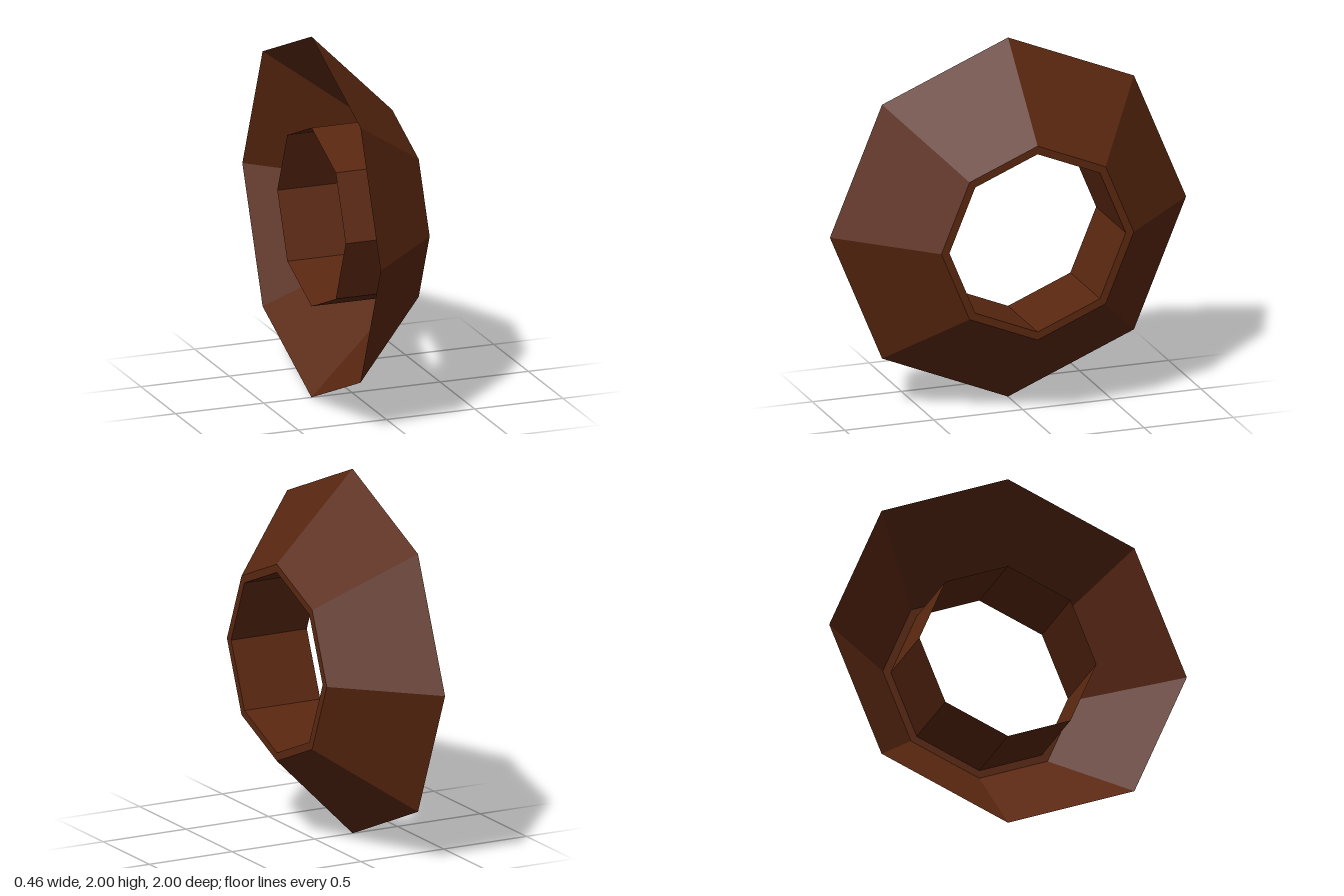
import * as THREE from 'three';

const SIDES = 8;
const HALF_WIDTH = 0.229;
const OUTER_R = 1, RIM_R = 0.54, HOLE_R = 0.495;

export function createModel() {
  const group = new THREE.Group();
  group.name = 'octagonalRing';
  const brown = new THREE.MeshStandardMaterial({ color: 0x5a2710, side: THREE.DoubleSide });
  brown.name = 'darkBrown';

  // Each part is a faceted band between two [radius, x] rings around the x axis
  const addBand = (name, from, to) => {
    const profile = [from, to].map(([r, x]) => new THREE.Vector2(r, x));
    const geometry = new THREE.LatheGeometry(profile, SIDES).toNonIndexed();
    geometry.rotateZ(-Math.PI / 2);
    geometry.computeVertexNormals(); // flat facets
    const mesh = new THREE.Mesh(geometry, brown);
    mesh.name = name;
    mesh.position.y = OUTER_R;
    group.add(mesh);
  };

  // Sloped outer shell, open at the back
  addBand('slopedShell', [OUTER_R, -HALF_WIDTH], [RIM_R, HALF_WIDTH]);
  // Narrow flat lip around the hole
  addBand('flatRim', [RIM_R, HALF_WIDTH], [HOLE_R, HALF_WIDTH]);
  // Straight sleeve running back through the hole
  addBand('innerSleeve', [HOLE_R, HALF_WIDTH], [HOLE_R, -HALF_WIDTH]);

  return group;
}
